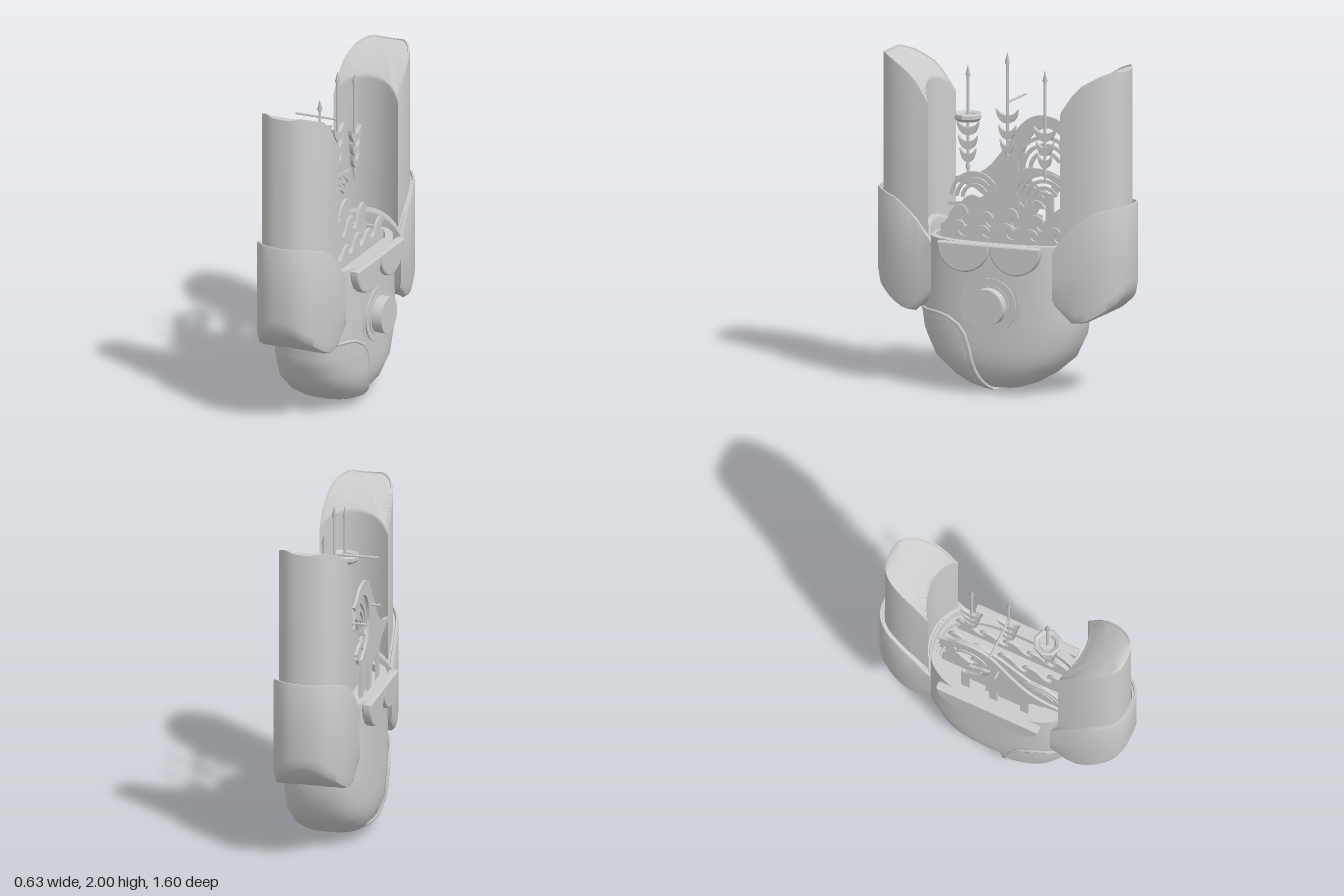
import * as THREE from 'three';
import { toCreasedNormals } from 'three/addons/utils/BufferGeometryUtils.js';

const CX = -0.022; // the body's middle plane; the dial sticks out to one side
const grey = new THREE.MeshStandardMaterial({ color: 0xcccccc, side: THREE.DoubleSide });
const V = (x, y, z) => new THREE.Vector3(x, y, z);

function add(parent, name, geometry, x = 0, y = 0, z = 0) {
  const m = new THREE.Mesh(geometry, grey);
  m.name = name;
  m.position.set(x, y, z);
  parent.add(m);
  return m;
}

// Piecewise linear lookup in [[key, value], ...]
function at(table, v) {
  if (v <= table[0][0]) return table[0][1];
  for (let i = 1; i < table.length; i++) {
    const [a, fa] = table[i - 1], [b, fb] = table[i];
    if (v <= b) return fa + (fb - fa) * (v - a) / (b - a);
  }
  return table[table.length - 1][1];
}

// Skin a stack of cross-sections, lowest first
function loft(rings, closed = true, crease = 0.6) {
  const n = rings[0].length, pos = [], idx = [];
  rings.forEach(r => r.forEach(p => pos.push(p.x, p.y, p.z)));
  for (let i = 0; i < rings.length - 1; i++)
    for (let j = 0; j < (closed ? n : n - 1); j++) {
      const a = i * n + j, b = i * n + (j + 1) % n;
      idx.push(a, b, b + n, a, b + n, a + n);
    }
  const g = new THREE.BufferGeometry();
  g.setAttribute('position', new THREE.Float32BufferAttribute(pos, 3));
  g.setIndex(idx);
  return toCreasedNormals(g, crease);
}

// Hull half width and half length by height
const hullX = [[0, 0.001], [0.012, 0.13], [0.04, 0.185], [0.09, 0.23], [0.19, 0.262], [0.33, 0.267], [0.9, 0.265]];
const hullZ = [[0, 0.001], [0.012, 0.12], [0.04, 0.2], [0.09, 0.29], [0.19, 0.41], [0.33, 0.48], [0.45, 0.5], [0.6, 0.49], [0.9, 0.465]];
const POW = 2.6;
const bend = v => Math.sign(v) * Math.pow(Math.abs(v), 2 / POW);
const hullPoint = (y, t, grow = 0) =>
  V((at(hullX, y) + grow) * bend(Math.sin(t)), y + 0.013, (at(hullZ, y) + grow) * bend(Math.cos(t)));

function hull() {
  const ring = (y, sx = 1, sz = 1, yy = y) => Array.from({ length: 64 }, (_, j) => {
    const p = hullPoint(y, j / 64 * Math.PI * 2);
    return V(p.x * sx, yy + (yy < 0.85 ? 0.013 : 0), p.z * sz);
  });
  const rings = [0, 0.012, 0.04, 0.09, 0.14, 0.19, 0.26, 0.33, 0.45, 0.6, 0.88].map(y => ring(y));
  rings.push(ring(0.9), ring(0.9, 0.8, 0.94), ring(0.9, 0.8, 0.94, 0.855), ring(0.9, 0.001, 0.001, 0.855));
  return loft(rings);
}

// Toe patch: an enlarged piece of hull forward of a curved seam
const seam = [[0, 0.0], [0.012, 0.04], [0.12, 0.1], [0.25, 0.13], [0.34, 0.16], [0.39, 0.2], [0.43, 0.27], [0.45, 0.36]];
const patchRows = [0, 0.006, 0.012, 0.04, 0.09, 0.14, 0.19, 0.25, 0.3, 0.34, 0.37, 0.39, 0.41, 0.43, 0.45];
function seamAngle(y, inset) {
  const r = Math.min(0.98, Math.max(0, at(seam, y) + inset) / (at(hullZ, y) + 0.016));
  return Math.acos(Math.pow(r, POW / 2));
}
function toePatch(group) {
  const g = new THREE.Group();
  g.name = 'toePatch';
  const row = (y, inset, grow, drop = 0) => Array.from({ length: 33 }, (_, j) => {
    const p = hullPoint(y, seamAngle(y, inset) * (j / 16 - 1), grow);
    return p.setY(p.y - 0.012 - drop + 0.012 * y / 0.45);
  });
  add(g, 'toePanel', loft(patchRows.map(y => row(y, 0, 0.016)), false));
  // Raised welt and stitch line following the seam
  [[0, 0.01], [0.04, 0.005]].forEach(([inset, r]) => {
    const ys = patchRows.filter(y => y >= 0.012 && y <= 0.45 - inset);
    const rows = ys.map(y => row(y, inset, 0.012, -0.004));
    const path = [...rows.map(q => q[0]), ...rows[rows.length - 1].slice(1, -1), ...rows.map(q => q[32]).reverse()];
    add(g, 'toeWelt', new THREE.TubeGeometry(new THREE.CatmullRomCurve3(path, false, 'centripetal'), 120, r, 6));
  });
  group.add(g);
}

// Upright with a rounded outside and a hollowed inner face
function upright(hw, w0, w1, bottom, top, rings) {
  const N = 24, M = 10, mid = (w0 + w1) / 2 + 0.05, base = [];
  for (let j = 0; j <= N; j++) {
    const t = (j / N - 0.5) * Math.PI;
    base.push([hw * bend(Math.sin(t)), w0 + (w1 - w0) * bend(Math.cos(t))]);
  }
  for (let j = 1; j < M; j++) {
    const u = 1 - 2 * j / M;
    base.push([hw * u, w0 + 0.07 * (1 - u * u)]);
  }
  return loft(rings.map(([s, t, dy = 0]) => base.map(([x, w]) => {
    const ws = mid + (w - mid) * s, b = at(bottom, ws);
    return V(x * s, b + (at(top, ws) - b) * t + dy, ws);
  })), true, 0.7);
}

// Thin plate drawn in the side plane (first axis runs to the back)
function plate(shape, depth = 0.016) {
  const g = new THREE.ExtrudeGeometry(shape, { depth, bevelEnabled: false, curveSegments: 10 });
  return g.translate(0, 0, -depth / 2).rotateY(Math.PI / 2);
}

// Row of small hooked wave crests
function crestRow(z0, z1, n, trough, h) {
  const s = new THREE.Shape(), d = (z0 - z1) / n;
  s.moveTo(-z0, 0.855).lineTo(-z0, trough);
  for (let i = 0; i < n; i++) {
    const a = -z0 + i * d, k = i % 2 ? 0.75 : 1, y = trough + h * k;
    s.bezierCurveTo(a + 0.35 * d, trough, a + 0.35 * d, y, a + 0.75 * d, y);
    s.quadraticCurveTo(a + d, y, a + 1.08 * d, trough + 0.55 * h * k);
    s.bezierCurveTo(a + 0.85 * d, y - 0.2 * h, a + 0.65 * d, trough + 0.1 * h, a + d, trough);
  }
  s.lineTo(-z1, 0.855);
  return plate(s);
}

// Breaking wave with a curled lip, mapped by scale and offset
function breaker(su, sy, du = 0, foot = 1.06) {
  const P = (u, y) => new THREE.Vector2(u * su + du, 0.86 + (y - 0.86) * sy);
  const go = (...pts) => s.splineThru(pts.map(p => P(...p)));
  const s = new THREE.Shape();
  s.moveTo(...P(-0.42, 1.19).toArray());
  go([-0.3, 1.21], [-0.2, 1.27], [-0.1, 1.39], [0, 1.53], [0.1, 1.59], [0.22, 1.58], [0.3, 1.53], [0.37, 1.51]);
  go([0.335, 1.48], [0.35, 1.43]);
  go([0.3, 1.41], [0.27, 1.34]);
  go([0.24, 1.42], [0.25, 1.48], [0.17, 1.52], [0.08, 1.48], [0.03, 1.4], [0.02, 1.3], [0.07, 1.2], [0.18, 1.13]);
  s.lineTo(...P(0.2, foot).toArray());
  s.lineTo(...P(-0.2, foot).toArray());
  go([-0.3, 1.13], [-0.42, 1.16]);
  return plate(s);
}

// Curved foam streak
function streak(r, w, a0, a1) {
  const s = new THREE.Shape();
  s.absarc(0, 0, r, a0, a1, false);
  s.absarc(0, 0, r - w, a1, a0, true);
  return plate(s, 0.014);
}

function sea(group) {
  const g = new THREE.Group();
  g.name = 'waves';
  add(g, 'greatWave', breaker(1, 1), -0.22);
  add(g, 'middleWave', breaker(1, 0.6, 0, 0.86), -0.11);
  add(g, 'smallWave', breaker(0.6, 0.44, -0.05, 0.86), -0.18);
  add(g, 'rearCrests', crestRow(0.41, -0.38, 4, 0.99, 0.12), -0.11);
  add(g, 'middleCrests', crestRow(0.42, -0.38, 5, 0.95, 0.12), -0.01);
  add(g, 'frontCrests', crestRow(0.38, -0.38, 5, 0.91, 0.09), 0.1);
  [0.2, 0, -0.18].forEach(z => add(g, 'waveLeg', new THREE.BoxGeometry(0.016, 0.28, 0.05), -0.22, 0.99, z));
  [[0.2, 0.6], [0.155, 0.7], [0.11, 0.5]].forEach(([r, a]) => {
    add(g, 'foamStreak', streak(r, 0.022, a, 3.3), -0.19, 1.28, -0.17);
    add(g, 'foamStreak', streak(r * 0.8, 0.02, a, 3.1), -0.16, 1.08, 0.27);
    add(g, 'foamStreak', streak(r * 0.9, 0.022, a, 3.3), -0.1, 1.1, -0.2);
  });
  group.add(g);
}

// Spear-tipped mast carrying crescent sails
function mast(group, z, low, high, tiers) {
  const g = new THREE.Group();
  g.name = 'mast';
  g.position.set(-0.012, 0, z);
  add(g, 'pole', new THREE.CylinderGeometry(0.009, 0.009, high - low - 0.08, 8), 0, (high + low) / 2, 0);
  const tip = [[0, 0], [0.016, 0.025], [0, 0.09]].map(p => new THREE.Vector2(...p));
  add(g, 'spearhead', new THREE.LatheGeometry(tip, 6), 0, high - 0.09, 0);
  add(g, 'lowerPoint', new THREE.LatheGeometry(tip, 6), 0, low + 0.09, 0).rotation.x = Math.PI;
  tiers.forEach(([y, w]) => {
    const s = new THREE.Shape();
    s.moveTo(-w, y);
    s.bezierCurveTo(-w * 0.9, y - 0.115, w * 0.9, y - 0.115, w, y);
    s.bezierCurveTo(w * 0.5, y - 0.05, -w * 0.5, y - 0.05, -w, y);
    add(g, 'crescentSail', plate(s, 0.024));
  });
  group.add(g);
  return g;
}

export function createModel() {
  const model = new THREE.Group();
  model.name = 'shipVessel';
  const body = new THREE.Group();
  body.name = 'body';
  body.position.x = CX;
  model.add(body);
  add(body, 'hull', hull());
  toePatch(body);

  // Tall uprights in their sockets, front and back
  const colTop = [[0.42, 1.7], [0.455, 1.77], [0.55, 1.87], [0.65, 1.93], [0.74, 1.965], [0.77, 1.95]];
  const cupTop = [[0.385, 0.88], [0.42, 0.93], [0.5, 1.03], [0.62, 1.12], [0.74, 1.155], [0.8, 1.16]];
  const cupLow = [[0.38, 0.57], [0.5, 0.455], [0.58, 0.465], [0.65, 0.5], [0.75, 0.58], [0.8, 0.66]];
  const column = upright(0.207, 0.42, 0.77, [[0, 0.7]], colTop,
    [[1, 0], [1, 0.985], [0.985, 1], [0.93, 1], [0.92, 1, -0.008], [0.7, 1, -0.008], [0.4, 1, -0.008], [0.001, 1, -0.008]]);
  const socket = upright(0.24, 0.385, 0.8, cupLow, cupTop,
    [[0.001, 0], [0.4, 0], [0.7, 0], [0.86, 0], [0.95, 0.015], [1, 0.09], [1, 0.5], [1, 0.985], [0.985, 1], [0.93, 1], [0.91, 0.97], [0.85, 0.97]]);
  [0, Math.PI].forEach(turn => {
    add(body, 'upright', column).rotation.y = turn;
    add(body, 'socket', socket).rotation.y = turn;
  });

  // Half-round flaps under the rim on both sides
  const flap = new THREE.Shape();
  flap.absarc(0, 0, 0.155, Math.PI, Math.PI * 2, false);
  const flapGeo = new THREE.ExtrudeGeometry(flap, { depth: 0.03, bevelThickness: 0.012, bevelSize: 0.009, bevelSegments: 2, curveSegments: 20 })
    .rotateY(Math.PI / 2);
  [1, -1].forEach(side => [0.164, -0.164].forEach(z => {
    const f = add(body, 'rimFlap', flapGeo, side * 0.25, 0.891, z);
    if (side < 0) f.rotation.y = Math.PI;
  }));

  // Round dial on one side
  [[0.19, 0.262], [0.165, 0.272], [0.125, 0.277], [0.11, 0.342]].forEach(([r, x]) =>
    add(body, 'dial', new THREE.CylinderGeometry(r, r, x - 0.2, 40), (x + 0.2) / 2, 0.535, 0).rotation.z = Math.PI / 2);

  sea(model);

  // Masts, crow's nest and cross rods
  const front = mast(model, 0.25, 1.24, 1.91, [[1.57, 0.07], [1.485, 0.06], [1.41, 0.05]]);
  mast(model, 0, 1.34, 2, [[1.66, 0.07], [1.565, 0.055], [1.48, 0.045]]);
  mast(model, -0.24, 1.24, 1.91, [[1.57, 0.07], [1.485, 0.055], [1.41, 0.045]]);
  const nest = [[0, 1.575], [0.065, 1.57], [0.086, 1.59], [0.086, 1.612], [0.075, 1.62], [0.055, 1.61], [0.045, 1.585], [0, 1.585]];
  add(front, 'crowsNest', toCreasedNormals(new THREE.LatheGeometry(nest.map(p => new THREE.Vector2(...p)), 8), 0.4));
  [[1.7, 0, -0.01], [1.395, 0.035, -0.2], [1.395, -0.315, -0.2]].forEach(([y, z, x1]) =>
    add(model, 'crossRod', new THREE.CylinderGeometry(0.007, 0.007, x1 + 0.28, 8), (x1 - 0.28) / 2, y, z).rotation.z = Math.PI / 2);
  return model;
}
